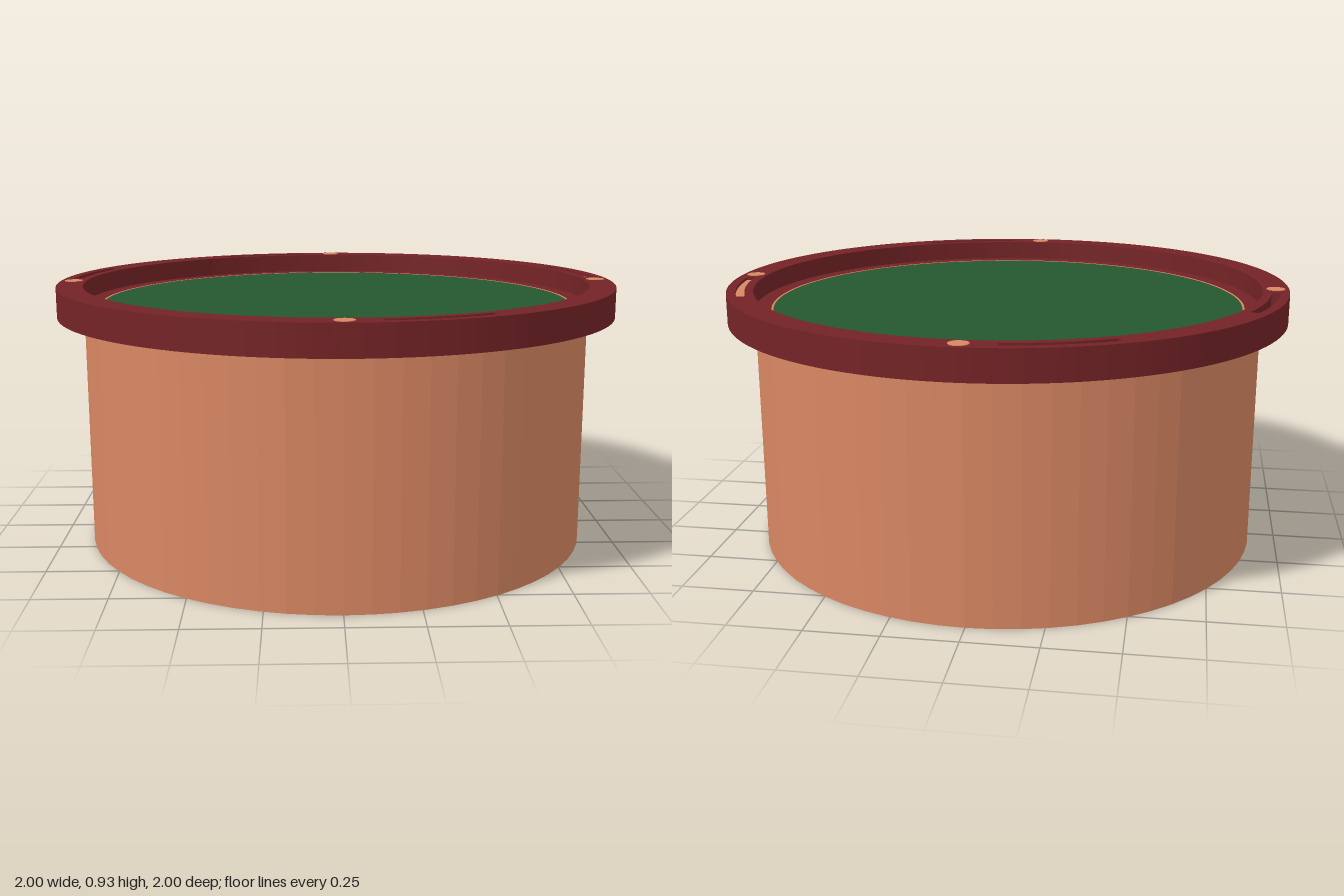
import * as THREE from 'three';

const SEG = 64;
const RIM_BOTTOM = 0.825, RIM_TOP = 0.93, LEDGE_Y = 0.853;
const rad = THREE.MathUtils.degToRad;

// Slots in the rim: start and end angle (seen from above), and inlay height
const SLOTS = [
  { name: 'rightSlot', from: 4, to: 25, y: 0.916 },
  { name: 'backSlot', from: 97, to: 119, y: 0.916 },
  { name: 'leftSlot', from: 155, to: 176, y: 0.828 },
  { name: 'frontSlot', from: -83, to: -61, y: 0.828 },
];

// Curved slot outline, used both as a hole and as an inlay
function traceSlot(path, { from, to }) {
  const a = rad(from), b = rad(to);
  path.absarc(0, 0, 0.967, a, b, false);
  path.absarc(0, 0, 0.937, b, a, true);
  path.closePath();
  return path;
}

// Ring outline with a round hole
function ringShape(outer, inner) {
  const shape = new THREE.Shape().absarc(0, 0, outer, 0, Math.PI * 2, false);
  shape.holes.push(new THREE.Path().absarc(0, 0, inner, 0, Math.PI * 2, true));
  return shape;
}

// Extrude a flat outline upwards from height y
function slab(shape, y, height, curveSegments = SEG) {
  const g = new THREE.ExtrudeGeometry(shape, { depth: height, bevelEnabled: false, curveSegments });
  return g.rotateX(-Math.PI / 2).translate(0, y, 0);
}

export function createModel() {
  const clay = new THREE.MeshStandardMaterial({ name: 'clay', color: 0xd98763, side: THREE.DoubleSide, flatShading: true });
  const maroon = new THREE.MeshStandardMaterial({ name: 'maroon', color: 0x742326, flatShading: true });
  const green = new THREE.MeshStandardMaterial({ name: 'green', color: 0x25582f, flatShading: true });

  const group = new THREE.Group();
  const add = (name, geometry, material) => {
    const mesh = new THREE.Mesh(geometry, material);
    mesh.name = name;
    group.add(mesh);
    return mesh;
  };

  // Thin open wall
  add('wall', new THREE.CylinderGeometry(0.905, 0.905, 0.855, SEG, 1, true).translate(0, 0.4275, 0), clay);

  // Overhanging rim pierced by the slots
  const rim = ringShape(1, 0.907);
  SLOTS.forEach((s) => rim.holes.push(traceSlot(new THREE.Path(), s)));
  add('rim', slab(rim, RIM_BOTTOM, RIM_TOP - RIM_BOTTOM), maroon);

  // Recessed ledge, its thin lining and the green panel
  add('ledge', slab(ringShape(0.908, 0.847), LEDGE_Y, 0.007), maroon);
  add('lining', slab(ringShape(0.848, 0.841), LEDGE_Y, 0.008), clay);
  add('panel', new THREE.CylinderGeometry(0.843, 0.843, 0.006, SEG).translate(0, LEDGE_Y + 0.004, 0), green);

  // Inlays closing the slots
  SLOTS.forEach((s) => add(s.name + 'Inlay', slab(traceSlot(new THREE.Shape(), s), s.y, 0.005, 12), clay));

  // Round studs at the four quarters
  for (let i = 0; i < 4; i++) {
    const a = (i * Math.PI) / 2;
    const geometry = new THREE.CylinderGeometry(0.033, 0.033, 0.006, 16);
    add('stud', geometry, clay).position.set(0.953 * Math.cos(a), RIM_TOP - 0.001, 0.953 * Math.sin(a));
  }
  return group;
}
